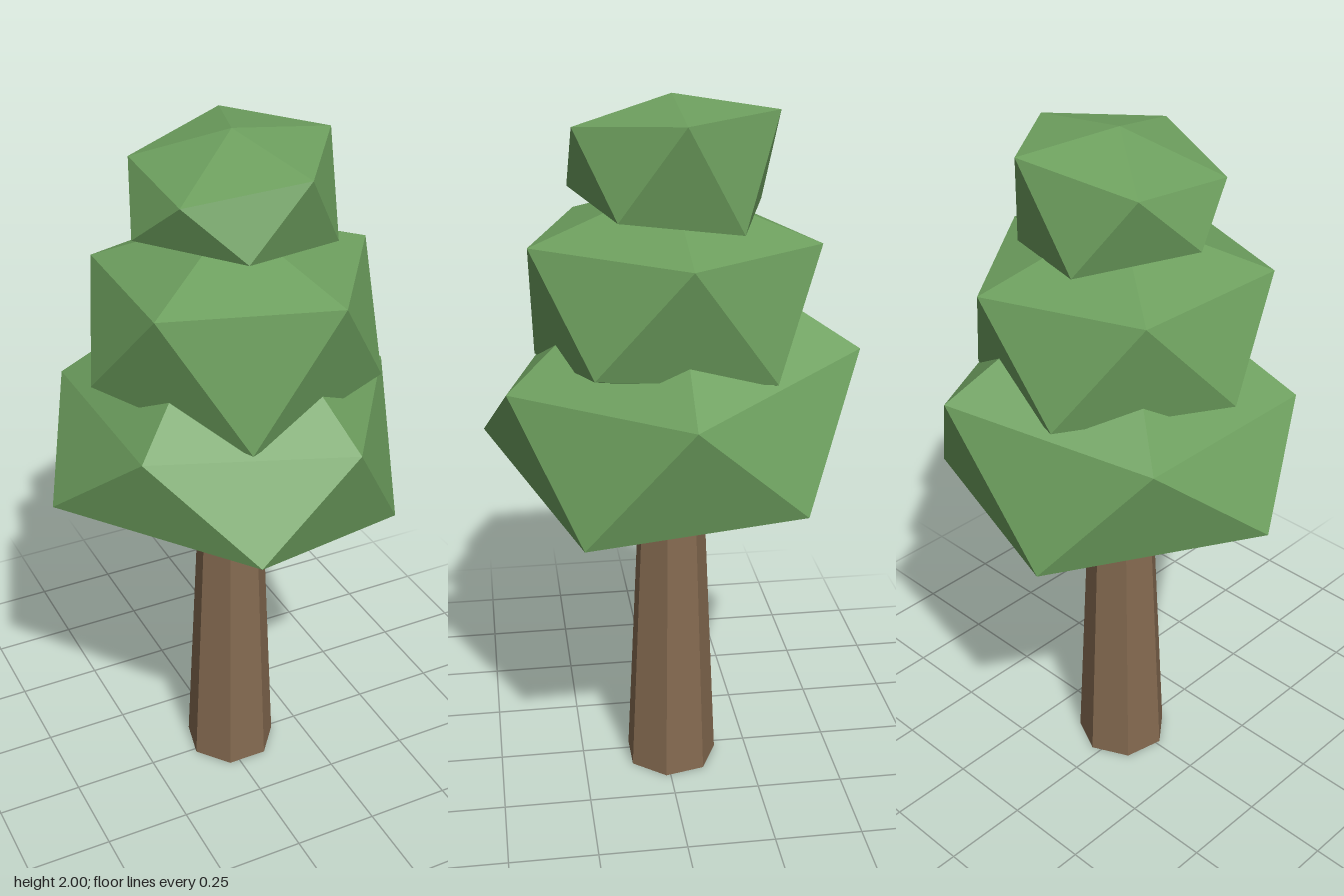
import * as THREE from 'three';

const leafGreen = new THREE.MeshStandardMaterial({ color: 0x6d9f5e });
const barkBrown = new THREE.MeshStandardMaterial({ color: 0x846a50 });

// Trunk and foliage share this slightly off-centre axis
const AXIS_X = 0.027, AXIS_Z = -0.017;

// Irregular icosahedron: two staggered rings of five points between a top and a bottom point
function foliage(name, topY, upper, lower, bottomY) {
  const top = [AXIS_X, topY, AXIS_Z];
  const bottom = [AXIS_X, bottomY, AXIS_Z];
  const positions = [];
  for (let k = 0; k < 5; k++) {
    const n = (k + 1) % 5;
    positions.push(
      ...top, ...upper[n], ...upper[k],
      ...upper[k], ...upper[n], ...lower[k],
      ...lower[k], ...upper[n], ...lower[n],
      ...bottom, ...lower[k], ...lower[n]
    );
  }
  const geometry = new THREE.BufferGeometry();
  geometry.setAttribute('position', new THREE.Float32BufferAttribute(positions, 3));
  geometry.computeVertexNormals();
  const mesh = new THREE.Mesh(geometry, leafGreen);
  mesh.name = name;
  return mesh;
}

export function createModel() {
  const tree = new THREE.Group();
  tree.name = 'tree';

  // Tapered seven-sided trunk, running up into the foliage
  const height = 1;
  const trunkGeometry = new THREE.CylinderGeometry(0.09, 0.137, height, 7, 1, false, Math.PI / 7).toNonIndexed();
  trunkGeometry.computeVertexNormals();
  const trunk = new THREE.Mesh(trunkGeometry, barkBrown);
  trunk.name = 'trunk';
  trunk.position.set(AXIS_X, height / 2, AXIS_Z);
  tree.add(trunk);

  // Rings run back, right side, front, then around the other side
  tree.add(foliage('lowerFoliage', 1.65,
    [[0.188, 1.342, -0.505], [0.51, 1.252, -0.017], [0.177, 1.252, 0.442], [-0.36, 1.27, 0.265], [-0.363, 1.27, -0.302]],
    [[0.45, 0.976, -0.32], [0.412, 0.897, 0.262], [-0.138, 1.034, 0.503], [-0.51, 1.024, -0.017], [-0.125, 0.944, -0.49]],
    0.745));

  tree.add(foliage('middleFoliage', 1.77,
    [[0.155, 1.625, -0.4], [0.435, 1.64, -0.017], [0.155, 1.64, 0.372], [-0.297, 1.634, 0.22], [-0.28, 1.63, -0.243]],
    [[0.35, 1.31, -0.25], [0.36, 1.345, 0.223], [-0.09, 1.273, 0.352], [-0.382, 1.363, -0.017], [-0.1, 1.33, -0.4]],
    1.2));

  tree.add(foliage('upperFoliage', 2.0,
    [[0.12, 1.968, -0.285], [0.313, 1.965, -0.017], [0.116, 1.936, 0.25], [-0.19, 1.88, 0.144], [-0.19, 1.91, -0.177]],
    [[0.248, 1.677, -0.175], [0.253, 1.72, 0.149], [-0.056, 1.75, 0.253], [-0.253, 1.75, -0.017], [-0.056, 1.7, -0.275]],
    1.67));

  return tree;
}
